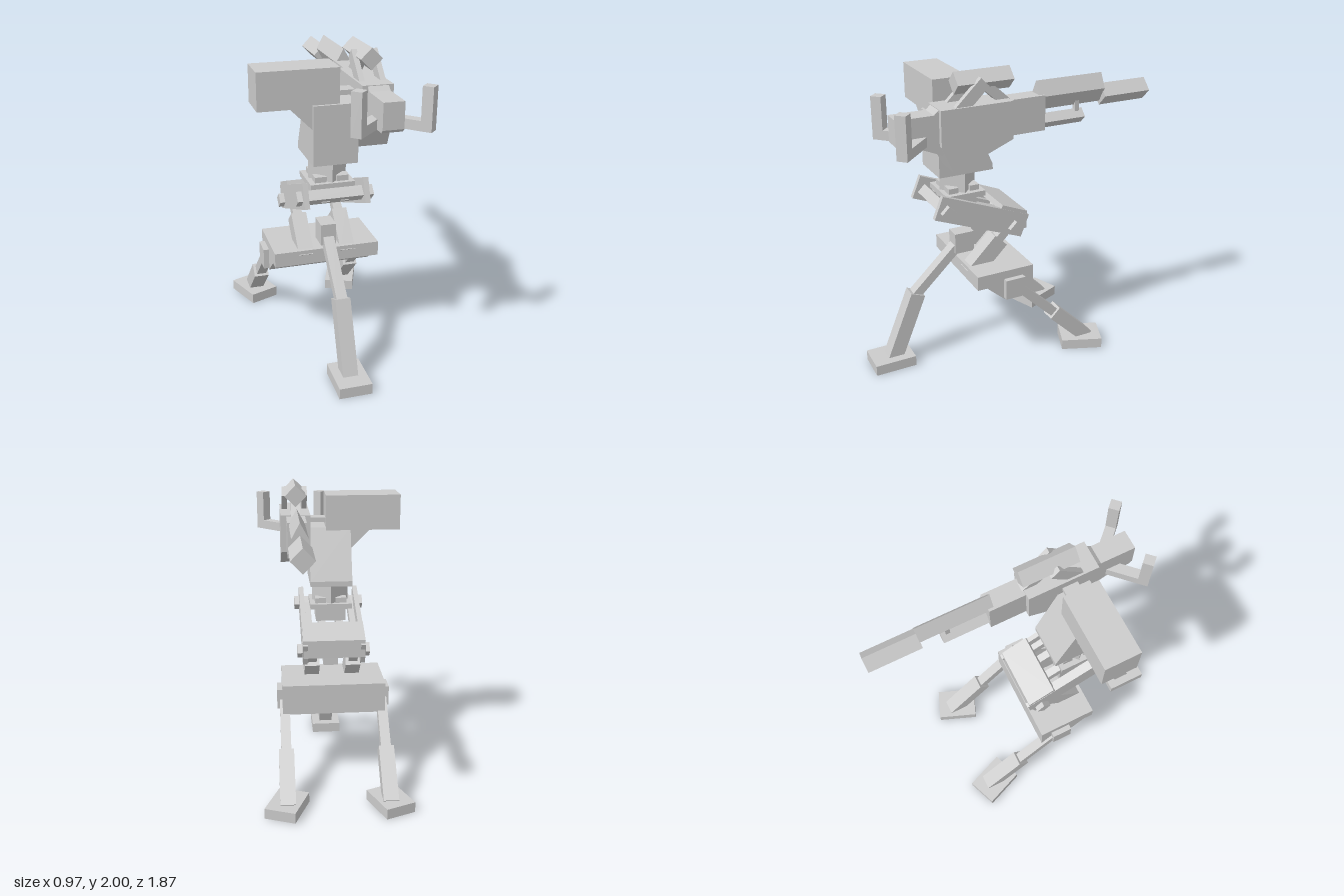
import * as THREE from 'three';

const material = new THREE.MeshStandardMaterial({ color: 0xcccccc, flatShading: true });

function add(parent, name, geometry) {
  const mesh = new THREE.Mesh(geometry, material);
  mesh.name = name;
  parent.add(mesh);
  return mesh;
}

// Box given by its [min, max] range on each axis
function box(parent, name, [x0, x1], [y0, y1], [z0, z1]) {
  const mesh = add(parent, name, new THREE.BoxGeometry(x1 - x0, y1 - y0, z1 - z0));
  mesh.position.set((x0 + x1) / 2, (y0 + y1) / 2, (z0 + z1) / 2);
  return mesh;
}

// Beam between two [z, y] points, at x, with a width along x and a thickness
function beam(parent, name, x, a, b, width, thickness) {
  const dz = b[0] - a[0], dy = b[1] - a[1];
  const mesh = add(parent, name, new THREE.BoxGeometry(width, thickness, Math.hypot(dz, dy)));
  mesh.position.set(x, (a[1] + b[1]) / 2, (a[0] + b[0]) / 2);
  mesh.rotation.x = -Math.atan2(dy, dz);
  return mesh;
}

// Side profile of [z, y] points extruded across x
function prism(parent, name, points, [x0, x1]) {
  const shape = new THREE.Shape(points.map(([z, y]) => new THREE.Vector2(z, y)));
  const geometry = new THREE.ExtrudeGeometry(shape, { depth: x1 - x0, bevelEnabled: false });
  geometry.rotateY(-Math.PI / 2);
  geometry.translate(x1, 0, 0);
  return add(parent, name, geometry);
}

// Diamond-section tube along z
function diamond(parent, name, y, rx, ry, [z0, z1]) {
  const geometry = new THREE.CylinderGeometry(1, 1, z1 - z0, 4);
  geometry.rotateX(Math.PI / 2);
  geometry.scale(rx, ry, 1);
  const mesh = add(parent, name, geometry);
  mesh.position.set(0, y, (z0 + z1) / 2);
  return mesh;
}

function group(parent, name, x) {
  const g = new THREE.Group();
  g.name = name;
  g.position.x = x;
  parent.add(g);
  return g;
}

function buildTripod(root) {
  const g = group(root, 'tripod', -0.006);
  prism(g, 'platform', [[0.31, 0.605], [0.31, 0.7], [-0.085, 0.7], [-0.085, 0.495],
    [0.12, 0.495], [0.245, 0.605]], [-0.345, 0.345]);

  // Front leg
  box(g, 'frontLegHinge', [-0.05, 0.05], [0.735, 0.875], [0.2, 0.333]);
  beam(g, 'frontLegUpper', 0, [0.26, 0.82], [0.62, 0.475], 0.07, 0.06);
  beam(g, 'frontLegLower', 0, [0.603, 0.495], [0.783, 0.05], 0.096, 0.1);
  box(g, 'frontFoot', [-0.104, 0.104], [0, 0.07], [0.66, 0.935]);

  for (const s of [-1, 1]) {
    // Back legs
    const hinge = box(g, 'backLegHinge', [-0.03, 0.03], [0.51, 0.645], [-0.01, 0.125]);
    hinge.position.x = s * 0.35;
    beam(g, 'backLegUpper', s * 0.33, [0.06, 0.6], [-0.27, 0.28], 0.066, 0.06);
    beam(g, 'backLegLower', s * 0.33, [-0.245, 0.305], [-0.51, 0.045], 0.1, 0.095);
    const foot = box(g, 'backFoot', [-0.103, 0.103], [0, 0.07], [-0.137, 0.137]);
    foot.position.set(s * 0.335, 0.035, -0.473);
    foot.rotation.y = -s * 0.374;

    // Lifting arms rising from the platform to the rear axle
    beam(g, 'liftArmLower', s * 0.138, [0.272, 0.632], [0.068, 0.838], 0.1, 0.115);
    beam(g, 'liftArmUpper', s * 0.138, [0.08, 0.826], [-0.045, 0.952], 0.06, 0.06);
  }
}

function buildCradle(root) {
  const g = group(root, 'cradle', -0.006);
  for (const s of [-1, 1]) {
    const x = s * 0.19;
    beam(g, 'sidePlate', x, [0.502, 1.157], [-0.095, 0.918], 0.032, 0.157);
    beam(g, 'innerBar', s * 0.06, [0.46, 1.12], [0, 0.94], 0.05, 0.06);
    beam(g, 'innerRail', s * 0.15, [0.4, 1.11], [0, 0.95], 0.04, 0.06);
  }
  // Bridge joining the plates at the rear
  prism(g, 'rearBridge', [[0.08, 1.06], [0.065, 1.093], [-0.11, 1.02], [-0.108, 0.9],
    [-0.085, 0.9], [-0.075, 0.985]], [-0.204, 0.204]);
  // Square axles turned on edge
  for (const [z, y] of [[0.445, 1.122], [-0.02, 0.925]]) {
    const axle = box(g, 'axle', [-0.24, 0.24], [-0.034, 0.034], [-0.034, 0.034]);
    axle.position.set(0, y, z);
    axle.rotation.x = Math.PI / 4;
  }
  // Turntable with a square post turned on edge
  box(g, 'turntablePlate', [-0.14, 0.14], [1.155, 1.19], [0.155, 0.42]);
  box(g, 'turntableMount', [-0.1, 0.1], [1.06, 1.16], [0.2, 0.37]);
  for (const sx of [-1, 1]) for (const sz of [-1, 1]) {
    const bolt = box(g, 'turntableBolt', [-0.037, 0.037], [1.19, 1.225], [-0.032, 0.032]);
    bolt.position.x = sx * 0.069;
    bolt.position.z = 0.288 + sz * 0.072;
  }
  add(g, 'turretPost', new THREE.CylinderGeometry(0.122, 0.122, 0.15, 4)).position.set(0, 1.255, 0.288);
}

function buildTurret(root) {
  const g = group(root, 'turret', 0);
  prism(g, 'turretBody', [[0.465, 1.325], [0.465, 1.695], [0.25, 1.695], [0.105, 1.36],
    [0.105, 1.325]], [-0.143, 0.135]);
  box(g, 'ammoBox', [-0.47, 0.022], [1.68, 1.91], [0.217, 0.447]);
  // Gusset under the ammo box
  const gusset = new THREE.Shape([[-0.28, 1.685], [-0.14, 1.545], [-0.13, 1.685]]
    .map(([x, y]) => new THREE.Vector2(x, y)));
  add(g, 'ammoBoxGusset', new THREE.ExtrudeGeometry(gusset, { depth: 0.2, bevelEnabled: false }))
    .position.z = 0.245;
  box(g, 'feedLink', [0.01, 0.15], [1.725, 1.755], [0.28, 0.38]);
}

function buildGun(root) {
  const g = group(root, 'gun', 0.229);
  prism(g, 'receiver', [[0.52, 1.59], [0.52, 1.81], [0.06, 1.81], [0.06, 1.575],
    [0.445, 1.42]], [-0.095, 0.095]);
  prism(g, 'gripHousing', [[0.78, 1.62], [0.78, 1.78], [0.55, 1.78], [0.515, 1.81],
    [0.48, 1.535], [0.51, 1.535], [0.66, 1.6], [0.76, 1.6]], [-0.064, 0.064]);

  // Splayed handles with upright grips
  for (const s of [-1, 1]) {
    const arm = box(g, 'handleArm', [-0.033, 0.033], [1.6, 1.66], [-0.135, 0.135]);
    arm.position.x = s * 0.11;
    arm.position.z = 0.69;
    arm.rotation.y = s * Math.PI / 4;
    const grip = box(g, 'handleGrip', [-0.033, 0.033], [1.6, 1.86], [-0.033, 0.033]);
    grip.position.x = s * 0.205;
    grip.position.z = 0.785;
    grip.rotation.y = Math.PI / 4;
  }

  // Barrel assembly
  box(g, 'barrelCollar', [-0.06, 0.06], [1.585, 1.805], [-0.175, 0.07]);
  diamond(g, 'barrelShroud', 1.793, 0.05, 0.092, [-0.605, -0.14]);
  diamond(g, 'muzzle', 1.745, 0.068, 0.07, [-0.935, -0.6]);
  diamond(g, 'gasTube', 1.628, 0.047, 0.047, [-0.47, -0.04]);
  box(g, 'gasTubeStrut', [-0.015, 0.015], [1.64, 1.76], [-0.442, -0.413]);

  // Sight on its braces
  diamond(g, 'sight', 1.933, 0.068, 0.067, [0.04, 0.4]);
  for (const s of [-1, 1])
    beam(g, 'sightFrontBrace', s * 0.065, [0.41, 1.77], [0.235, 1.94], 0.034, 0.075);
  beam(g, 'sightRearBrace', 0, [0.06, 1.775], [0.2, 1.9], 0.06, 0.06);
}

export function createModel() {
  const root = new THREE.Group();
  root.name = 'tripodTurret';
  buildTripod(root);
  buildCradle(root);
  buildTurret(root);
  buildGun(root);
  return root;
}
